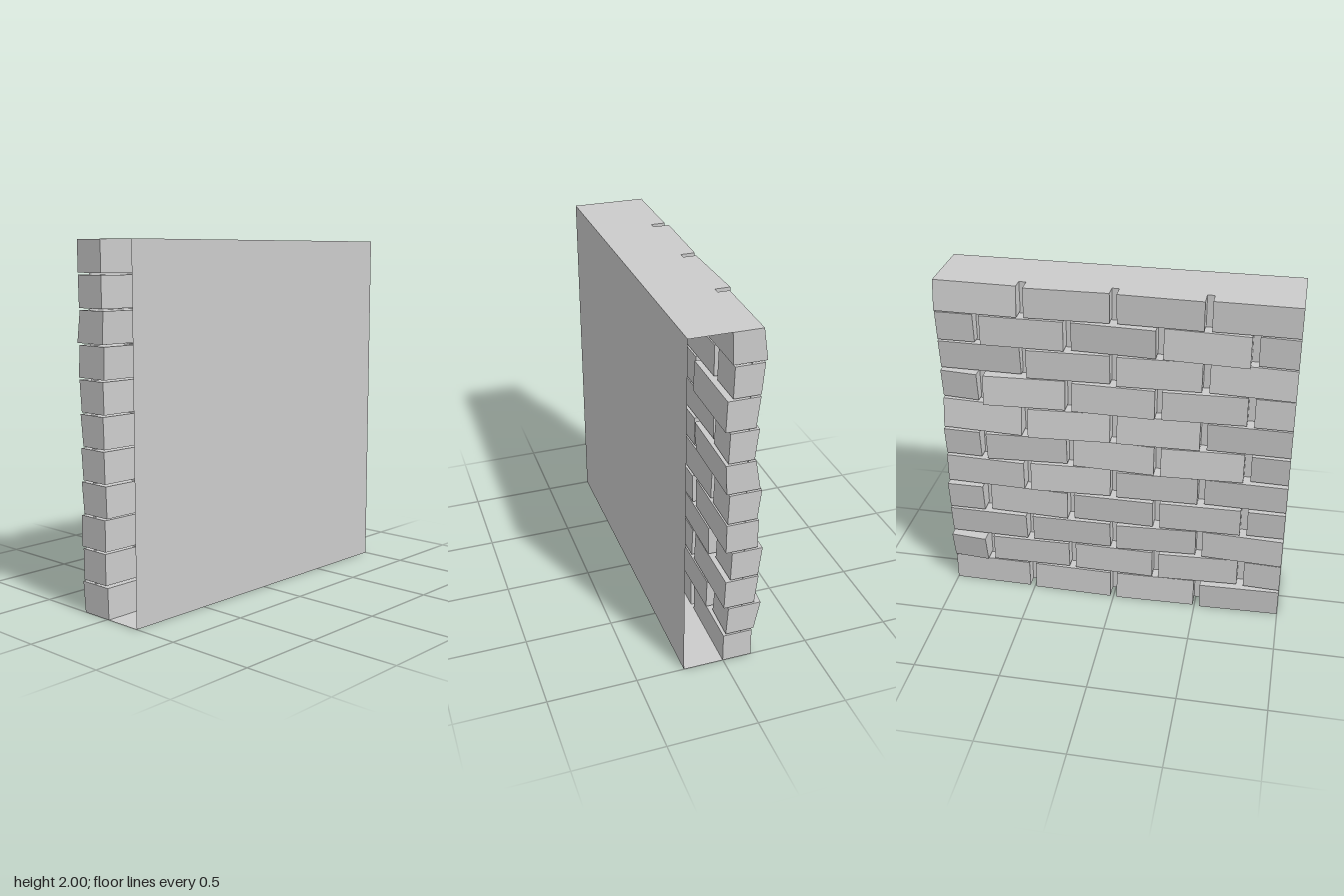
import * as THREE from 'three';

export function createModel() {
  const model = new THREE.Group();
  const shellMat = new THREE.MeshStandardMaterial({ color: 0xcccccc, side: THREE.DoubleSide });
  const brickMat = new THREE.MeshStandardMaterial({ color: 0xcccccc, flatShading: true });

  // Seeded jitter in -1..1
  let seed = 7;
  const jitter = () => {
    seed = (seed * 16807) % 2147483647;
    return (seed / 2147483647) * 2 - 1;
  };

  // Thin shell behind the bricks, open at both ends
  const FRONT = 0.23, MORTAR = -0.1, depth = FRONT - MORTAR, midZ = (FRONT + MORTAR) / 2;
  const addPanel = (name, height, y, z, rotX) => {
    const panel = new THREE.Mesh(new THREE.PlaneGeometry(2, height), shellMat);
    panel.name = name;
    panel.position.set(0, y, z);
    panel.rotation.x = rotX;
    model.add(panel);
  };
  addPanel('frontPanel', 2, 1, FRONT, 0);
  addPanel('mortarPanel', 2, 1, MORTAR, Math.PI);
  addPanel('topPanel', depth, 2, midZ, -Math.PI / 2);
  addPanel('bottomPanel', depth, 0, midZ, Math.PI / 2);

  // Brick: a box whose back face is tilted and whose front follows a little
  const addBrick = (parent, x0, x1, y0, y1, tilt) => {
    const geo = new THREE.BoxGeometry(x1 - x0, y1 - y0, 1);
    geo.translate((x0 + x1) / 2, (y0 + y1) / 2, 0);
    const p = geo.attributes.position;
    for (let i = 0; i < p.count; i++) {
      const u = p.getX(i) > (x0 + x1) / 2 ? 1 : -1;
      const v = p.getY(i) > (y0 + y1) / 2 ? 1 : -1;
      const lean = u * tilt.yaw + v * tilt.pitch;
      p.setZ(i, p.getZ(i) < 0 ? tilt.back + lean : tilt.front + lean * 0.3);
    }
    geo.computeVertexNormals();
    const brick = new THREE.Mesh(geo, brickMat);
    brick.name = 'brick';
    parent.add(brick);
  };

  // Running bond: whole bricks on even courses, half bricks at the ends of odd ones
  const ROWS = 11, HEIGHT = 0.172, GAP = 0.04;
  const pitchY = (2 - HEIGHT) / (ROWS - 1);
  // Back depth at the top and bottom of each course's last brick, bottom course first
  const endBack = [
    [-0.165, -0.165], [-0.21, -0.175], [-0.19, -0.17], [-0.205, -0.185],
    [-0.175, -0.175], [-0.185, -0.165], [-0.145, -0.175], [-0.155, -0.135],
    [-0.155, -0.135], [-0.17, -0.155], [-0.155, -0.18],
  ];
  const endFront = [0, -0.02, 0, -0.03, 0, -0.005, 0.01, 0, 0.022, -0.01, 0];
  for (let r = 0; r < ROWS; r++) {
    const course = new THREE.Group();
    course.name = 'brickCourse';
    const joints = r % 2 ? [-0.765, -0.255, 0.255, 0.765] : [-0.51, 0, 0.51];
    const edges = [-1 - GAP / 2, ...joints, 1 + GAP / 2];
    for (let i = 0; i < edges.length - 1; i++) {
      const tilt = { back: -0.185 + jitter() * 0.008, front: jitter() * 0.008,
        yaw: jitter() * 0.013, pitch: jitter() * 0.013 };
      if (i === edges.length - 2) {
        const [top, bottom] = endBack[r];
        tilt.pitch = (top - bottom) / 2;
        tilt.yaw = Math.abs(tilt.yaw);
        tilt.back = (top + bottom) / 2 - tilt.yaw;
        tilt.front = endFront[r];
      }
      addBrick(course, edges[i] + GAP / 2, edges[i + 1] - GAP / 2, r * pitchY, r * pitchY + HEIGHT, tilt);
    }
    model.add(course);
  }
  return model;
}
